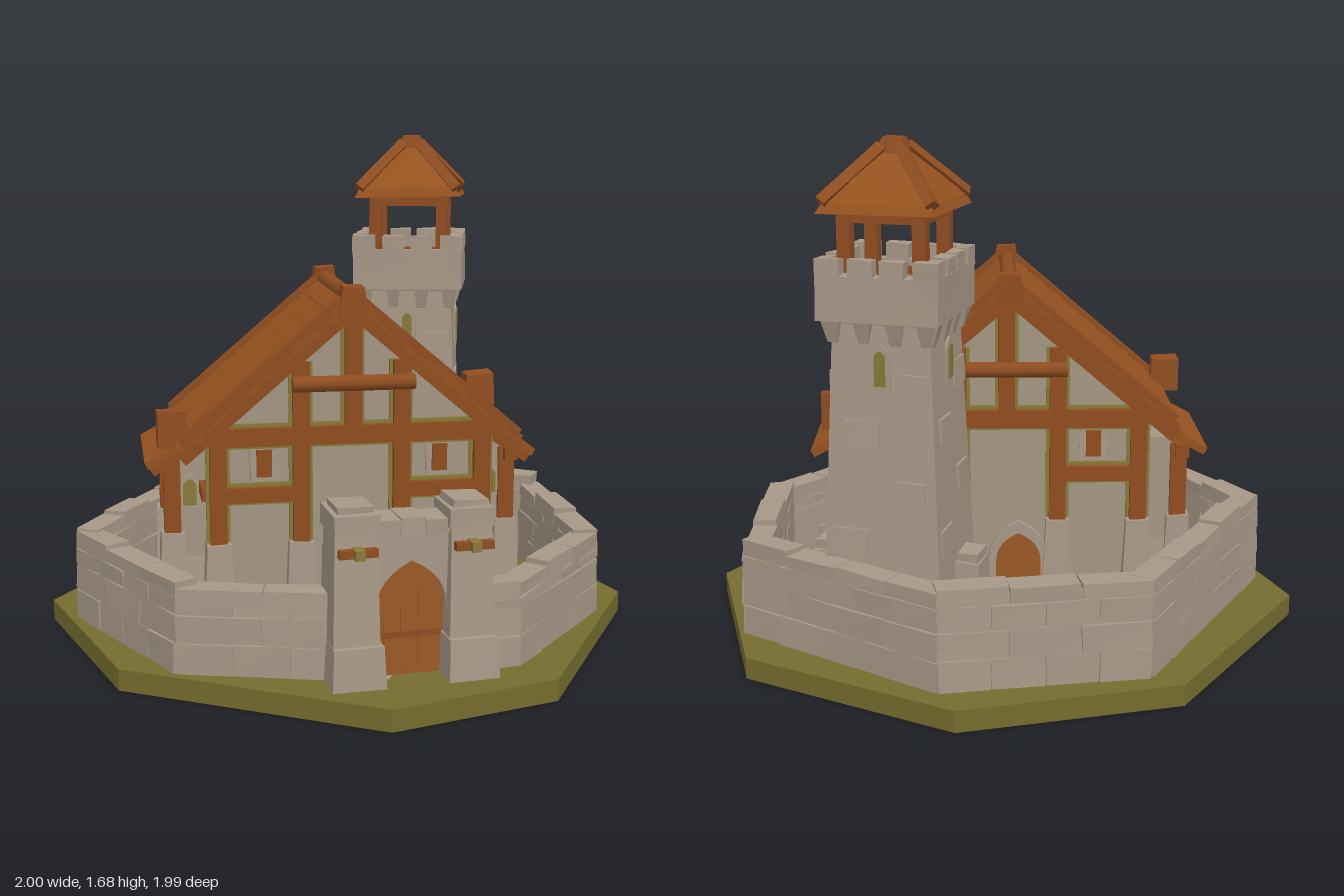
import * as THREE from 'three';

const mat = (name, color) => Object.assign(new THREE.MeshStandardMaterial({ color }), { name });
const M = {
  stone: mat('stone', 0xa79887), plaster: mat('plaster', 0xa39582), wood: mat('timber', 0x8f4d20),
  roof: mat('roof planks', 0x95521f), door: mat('door wood', 0x9a5a26),
  grass: mat('grass', 0x746c2e), moss: mat('moss', 0x857a38),
};

// Seeded value in -0.5..0.5
let seed = 7;
const rnd = () => ((seed = (seed * 16807) % 2147483647) / 2147483647) - 0.5;

function add(parent, name, geo, material, x = 0, y = 0, z = 0) {
  const m = new THREE.Mesh(geo, material);
  m.name = name;
  m.position.set(x, y, z);
  parent.add(m);
  return m;
}
function group(parent, name, x = 0, z = 0, ry = 0) {
  const g = new THREE.Group();
  g.name = name;
  g.position.set(x, 0, z);
  g.rotation.y = ry;
  parent.add(g);
  return g;
}
// Rough hewn block with a tapered top; the eight corners are nudged by j
function block(parent, name, material, x, z, y0, y1, w, d, tw = w, td = d, j = 0.006) {
  const geo = new THREE.BoxGeometry(1, 1, 1), p = geo.attributes.position;
  const nudge = Array.from({ length: 8 }, () => [rnd() * j, rnd() * j, rnd() * j]);
  for (let i = 0; i < p.count; i++) {
    const a = p.getX(i), b = p.getY(i), c = p.getZ(i);
    const n = nudge[(a > 0) + 2 * (b > 0) + 4 * (c > 0)];
    p.setXYZ(i, a * (b > 0 ? tw : w) + n[0], b * (y1 - y0) + n[1], c * (b > 0 ? td : d) + n[2]);
  }
  geo.computeVertexNormals();
  return add(parent, name, geo, material, x, (y0 + y1) / 2, z);
}
// Straight timber between two points
function beam(parent, name, a, b, w = 0.05, d = 0.05, material = M.wood) {
  const A = new THREE.Vector3(...a), B = new THREE.Vector3(...b), dir = B.clone().sub(A);
  const m = add(parent, name, new THREE.BoxGeometry(w, dir.length(), d), material);
  m.position.copy(A).add(B).multiplyScalar(0.5);
  m.quaternion.setFromUnitVectors(new THREE.Vector3(0, 1, 0), dir.normalize());
  return m;
}
function archPath(p, w, h) {
  const s = h - w * 0.65;
  p.moveTo(-w / 2, 0);
  p.lineTo(w / 2, 0);
  p.lineTo(w / 2, s);
  p.quadraticCurveTo(w / 2, s + w * 0.42, 0, h);
  p.quadraticCurveTo(-w / 2, s + w * 0.42, -w / 2, s);
  return p;
}
function arch(parent, name, material, x, y, z, w, h, ry = 0, depth = 0.009) {
  const geo = new THREE.ExtrudeGeometry(archPath(new THREE.Shape(), w, h), { depth, bevelEnabled: false, curveSegments: 6 });
  const m = add(parent, name, geo, material, x, y, z);
  m.rotation.y = ry;
  return m;
}
// Arched opening with a pale surround
function archWindow(parent, material, x, y, z, w, h, ry = 0) {
  const g = group(parent, 'window', x, z, ry);
  arch(g, 'windowSurround', M.stone, 0, y - 0.01, 0, w + 0.03, h + 0.03, 0, 0.007);
  arch(g, 'windowPane', material, 0, y, 0.003, w, h);
}

function base(root) {
  const pts = [[0.155, -1], [0.82, -0.63], [1, 0.085], [0.535, 0.84], [-0.01, 0.985], [-0.785, 0.54], [-1, -0.155], [-0.54, -0.84]];
  const geo = new THREE.ExtrudeGeometry(new THREE.Shape(pts.map(p => new THREE.Vector2(...p))), { depth: 0.07, bevelEnabled: false });
  add(root, 'grassBase', geo.rotateX(Math.PI / 2), M.grass, 0, 0.07, 0);
}

function ringWall(root) {
  // x, z and top height of each corner, from one gate side to the other
  const c = [[0.28, 0.69, 0.34], [0.43, 0.67, 0.34], [0.81, 0.24, 0.35], [0.81, -0.41, 0.385], [0.2, -0.84, 0.39],
    [-0.42, -0.75, 0.39], [-0.865, 0.03, 0.385], [-0.58, 0.57, 0.35], [-0.1, 0.7, 0.34]];
  for (let i = 0; i < c.length - 1; i++) {
    const [x0, z0, h0] = c[i], [x1, z1, h1] = c[i + 1];
    const len = Math.hypot(x1 - x0, z1 - z0), h = (h0 + h1) / 2;
    const g = group(root, 'wallSection', (x0 + x1) / 2, (z0 + z1) / 2, Math.atan2(z0 - z1, x1 - x0));
    block(g, 'wallCore', M.stone, 0, 0, 0.06, h - 0.02, len + 0.03, 0.075, len + 0.03, 0.07, 0);
    // Courses of stones, finished with cap stones
    const rows = [0.065, 0.17, 0.26, h - 0.05, h];
    for (let r = 0; r < 4; r++) {
      const n = Math.max(1, Math.round(len / 0.16) - (r % 2 && len > 0.4 ? 1 : 0)), w = (len + 0.035) / n;
      for (let k = 0; k < n; k++) {
        const t = 0.096 - r * 0.004 + rnd() * 0.006;
        block(g, r === 3 ? 'capStone' : 'wallStone', M.stone, (k + 0.5 - n / 2) * w, 0,
          rows[r], rows[r + 1] - 0.002 + (r === 3 ? rnd() * 0.016 : 0), w - 0.004, t, w - 0.004, t - 0.003);
      }
    }
  }
}

function gatehouse(root) {
  const g = group(root, 'gatehouse', 0.09, 0.69, 0.08);
  // Pointed gateway cut through the wall
  const s = new THREE.Shape([[-0.17, 0], [0.17, 0], [0.17, 0.46], [-0.17, 0.46]].map(p => new THREE.Vector2(...p)));
  s.holes.push(archPath(new THREE.Path(), 0.22, 0.37));
  add(g, 'gateWall', new THREE.ExtrudeGeometry(s, { depth: 0.1, bevelEnabled: false, curveSegments: 6 }), M.stone, 0, 0.07, -0.04);
  arch(g, 'gateDoor', M.door, 0, 0.07, 0, 0.24, 0.38, 0, 0.03);
  for (const x of [-0.055, 0, 0.055]) beam(g, 'doorPlank', [x, 0.08, 0.03], [x, 0.36, 0.03], 0.05, 0.006, M.door);
  beam(g, 'doorBrace', [-0.1, 0.2, 0.033], [0.1, 0.2, 0.033], 0.02, 0.006);
  for (const x of [-0.08, 0, 0.08]) block(g, 'lintelStone', M.stone, x, 0.01, 0.52, 0.57 + rnd() * 0.02, 0.08, 0.12);
  for (const e of [-1, 1]) {
    const x = e * 0.18;
    block(g, 'gatePillar', M.stone, x, 0.015, 0.06, 0.55, 0.15, 0.2, 0.125, 0.14);
    block(g, 'pillarFoot', M.stone, x, 0.03, 0.06, 0.2, 0.165, 0.21, 0.15, 0.19);
    block(g, 'pillarCap', M.stone, x, 0.01, 0.54, 0.6, 0.14, 0.17);
    block(g, 'pillarTop', M.stone, x, 0.01, 0.6, 0.62, 0.11, 0.13);
    block(g, 'pillarButtress', M.stone, x, -0.08, 0.06, 0.46, 0.11, 0.06);
    beam(g, 'torchPeg', [x - 0.06, 0.49, 0.11], [x + 0.06, 0.49, 0.11], 0.025, 0.025);
    beam(g, 'pegBracket', [x, 0.49, 0.06], [x, 0.49, 0.14], 0.03, 0.03, M.moss);
  }
}

function house(root) {
  const g = group(root, 'house', -0.02, 0);
  const body = new THREE.Shape([[-0.45, 0.06], [0.45, 0.06], [0.45, 0.75], [0, 1.16], [-0.45, 0.75]].map(p => new THREE.Vector2(...p)));
  add(g, 'houseWalls', new THREE.ExtrudeGeometry(body, { depth: 0.52, bevelEnabled: false }), M.plaster, 0, 0, -0.22);

  // Timber frame on both gables, edged with moss
  for (const [z, e] of [[0.31, 1], [-0.23, -1]]) {
    const strut = (a, b, w = 0.05) => {
      beam(g, 'gableTimber', [...a, z], [...b, z], w, 0.05);
      beam(g, 'mossEdge', [...a, z - e * 0.006], [...b, z - e * 0.006], w + 0.022, 0.016, M.moss);
    };
    for (const [x, y0, y1] of [[-0.43, 0.38, 0.78], [-0.16, 0.3, 0.98], [0.01, 0.72, 1.15], [0.17, 0.3, 0.98], [0.44, 0.38, 0.77]])
      strut([x, y0], [x, y1], 0.055);
    strut([-0.44, 0.74], [0.44, 0.74], 0.06);
    strut([-0.43, 0.55], [-0.16, 0.55]);
    strut([0.17, 0.55], [0.44, 0.55]);
    const log = add(g, 'collarLog', new THREE.CylinderGeometry(0.026, 0.026, 0.4, 8), M.wood, 0.01, 0.91, z + e * 0.025);
    log.rotation.z = Math.PI / 2;
    for (const x of [-0.43, -0.16, 0.17, 0.44]) block(g, 'postFoot', M.stone, x, z, 0.06, 0.39, 0.11, 0.1, 0.08, 0.08);
    for (const x of [-0.28, 0.3]) {
      block(g, 'windowSurround', M.stone, x, z - e * 0.012, 0.59, 0.71, 0.09, 0.02);
      block(g, 'windowPane', M.wood, x, z, 0.605, 0.695, 0.05, 0.012, 0.05, 0.012, 0);
    }
  }
  arch(g, 'rearDoorSurround', M.stone, -0.03, 0.07, -0.22, 0.2, 0.31, Math.PI, 0.025);
  arch(g, 'rearDoor', M.door, -0.03, 0.07, -0.24, 0.15, 0.27, Math.PI);

  for (const e of [-1, 1]) {
    // Overlapping courses of roof planks
    const courses = (name, x0, y0, x1, y1, z0, z1, n) => {
      const len = Math.hypot(x1 - x0, y1 - y0), slope = Math.atan2(y0 - y1, x1 - x0);
      for (let i = 0; i < n; i++) {
        const t = (i + 0.5) / n, m = add(g, name, new THREE.BoxGeometry(len / n + 0.014, 0.026, z1 - z0 + rnd() * 0.016), M.roof,
          e * (x0 + (x1 - x0) * t), y0 + (y1 - y0) * t, (z0 + z1) / 2);
        m.rotation.z = -e * (slope - 0.09);
      }
    };
    courses('roofCourse', 0, 1.185, 0.55, 0.715, -0.255, 0.375, 9);
    courses('sideRoofCourse', 0.42, 0.775, 0.645, 0.625, -0.25, 0.2, 3);
    for (const z of [0.345, -0.24]) {
      beam(g, 'bargeRafter', [0, 1.155, z], [e * 0.55, 0.685, z], 0.05, 0.05);
      beam(g, 'roofEdge', [0, 1.205, z + 0.01], [e * 0.55, 0.735, z + 0.01], 0.03, 0.045);
    }
    beam(g, 'eavePurlin', [e * 0.53, 0.71, -0.26], [e * 0.53, 0.71, 0.36], 0.045, 0.045);
    // Side bay
    block(g, 'sideBay', M.plaster, e * 0.48, -0.02, 0.06, 0.66, 0.16, 0.34, 0.14, 0.34);
    block(g, 'sidePlinth', M.stone, e * 0.49, -0.02, 0.06, 0.3, 0.18, 0.38, 0.16, 0.35);
    for (const z of [0.14, -0.18]) {
      beam(g, 'sidePost', [e * 0.57, 0.36, z], [e * 0.57, 0.64, z], 0.055, 0.055);
      block(g, 'sidePostFoot', M.stone, e * 0.57, z, 0.06, 0.39, 0.1, 0.1, 0.075, 0.075);
    }
    beam(g, 'sideBeam', [e * 0.58, 0.62, -0.23], [e * 0.58, 0.62, 0.19], 0.045, 0.045);
    beam(g, 'sideRafter', [e * 0.44, 0.745, 0.17], [e * 0.64, 0.61, 0.17], 0.045, 0.045);
    archWindow(g, M.door, e * 0.555, 0.48, -0.04, 0.06, 0.09, e * Math.PI / 2);
    archWindow(g, M.moss, e * 0.512, 0.48, 0.15, 0.045, 0.09);
    beam(g, 'sideRail', [e * 0.46, 0.55, 0.18], [e * 0.46, 0.55, 0.31], 0.045, 0.04);
    // Chunky purlin ends, set at opposite corners
    block(g, 'purlinEnd', M.wood, e * 0.57, e < 0 ? 0.27 : -0.235, 0.71, 0.83, 0.1, 0.07, 0.1, 0.07, 0.012);
  }
  const ridge = add(g, 'ridgeLog', new THREE.CylinderGeometry(0.028, 0.028, 0.64, 7), M.wood, 0, 1.185, 0.06);
  ridge.rotation.x = Math.PI / 2;
  for (const z of [0.355, -0.24]) block(g, 'ridgeEnd', M.wood, 0, z, 1.13, 1.225, 0.1, 0.06, 0.07, 0.06, 0.01);
}

function tower(root) {
  const g = group(root, 'tower', 0.335, -0.42, -0.28);
  block(g, 'towerShaft', M.stone, 0, 0, 0.06, 1.16, 0.4, 0.4, 0.31, 0.31, 0);
  block(g, 'towerFoot', M.stone, 0, 0, 0.06, 0.28, 0.43, 0.43, 0.4, 0.4);
  block(g, 'towerFloor', M.stone, 0, 0, 1.13, 1.2, 0.34, 0.34, 0.38, 0.38, 0);
  for (const e of [-1, 1]) {
    block(g, 'towerButtress', M.stone, e * 0.24, -0.005, 0.06, 0.35, 0.09, 0.13, 0.08, 0.12);
    block(g, 'buttressCap', M.stone, e * 0.24, -0.005, 0.34, 0.38, 0.07, 0.1);
  }
  for (let k = 0; k < 4; k++) {
    const s = group(g, 'towerSide', 0, 0, k * Math.PI / 2);
    block(s, 'parapet', M.stone, 0, 0.173, 1.14, 1.28, 0.385, 0.045, 0.39, 0.045);
    for (const x of [-0.155, -0.05, 0.05, 0.155]) block(s, 'merlon', M.stone, x, 0.173, 1.27, 1.33, 0.076, 0.046);
    for (const x of [-0.15, -0.05, 0.05, 0.15]) block(s, 'corbel', M.stone, x, 0.165, 1.07, 1.15, 0.03, 0.01, 0.055, 0.055);
    // Proud stones scattered over the shaft
    for (const [x, y] of [[-0.1, 0.4], [0.09, 0.56], [-0.06, 0.75], [0.1, 0.9]]) {
      const z = 0.2 - (y - 0.06) * 0.041;
      block(s, 'shaftStone', M.stone, x, z - 0.008, y, y + 0.08, 0.11, 0.03, 0.11, 0.022);
    }
    const pivot = group(s, 'slitWindow', 0, 0.164);
    archWindow(pivot, M.moss, 0, 0.94, 0, 0.035, 0.11);
    // Belfry posts, rails and hips
    beam(s, 'belfryPost', [0.12, 1.18, 0.12], [0.12, 1.49, 0.12], 0.042, 0.042);
    beam(s, 'belfryRail', [-0.13, 1.45, 0.12], [0.13, 1.45, 0.12], 0.035, 0.035);
    beam(s, 'lowRail', [-0.12, 1.25, 0.12], [0.12, 1.25, 0.12], 0.025, 0.025);
    beam(s, 'roofHip', [0.175, 1.495, 0.175], [0.03, 1.65, 0.03], 0.035, 0.035);
  }
  // Stepped pyramid roof
  block(g, 'towerEaves', M.roof, 0, 0, 1.465, 1.5, 0.38, 0.38, 0.34, 0.34, 0.012);
  block(g, 'towerRoofLow', M.roof, 0, 0, 1.495, 1.56, 0.355, 0.355, 0.23, 0.23);
  block(g, 'towerRoofHigh', M.roof, 0, 0, 1.55, 1.65, 0.26, 0.26, 0.06, 0.06);
  block(g, 'roofFinial', M.wood, 0, 0, 1.635, 1.68, 0.095, 0.095, 0.06, 0.06);
}

export function createModel() {
  seed = 7;
  const root = new THREE.Group();
  root.name = 'walledKeep';
  base(root);
  ringWall(root);
  gatehouse(root);
  house(root);
  tower(root);
  return root;
}
